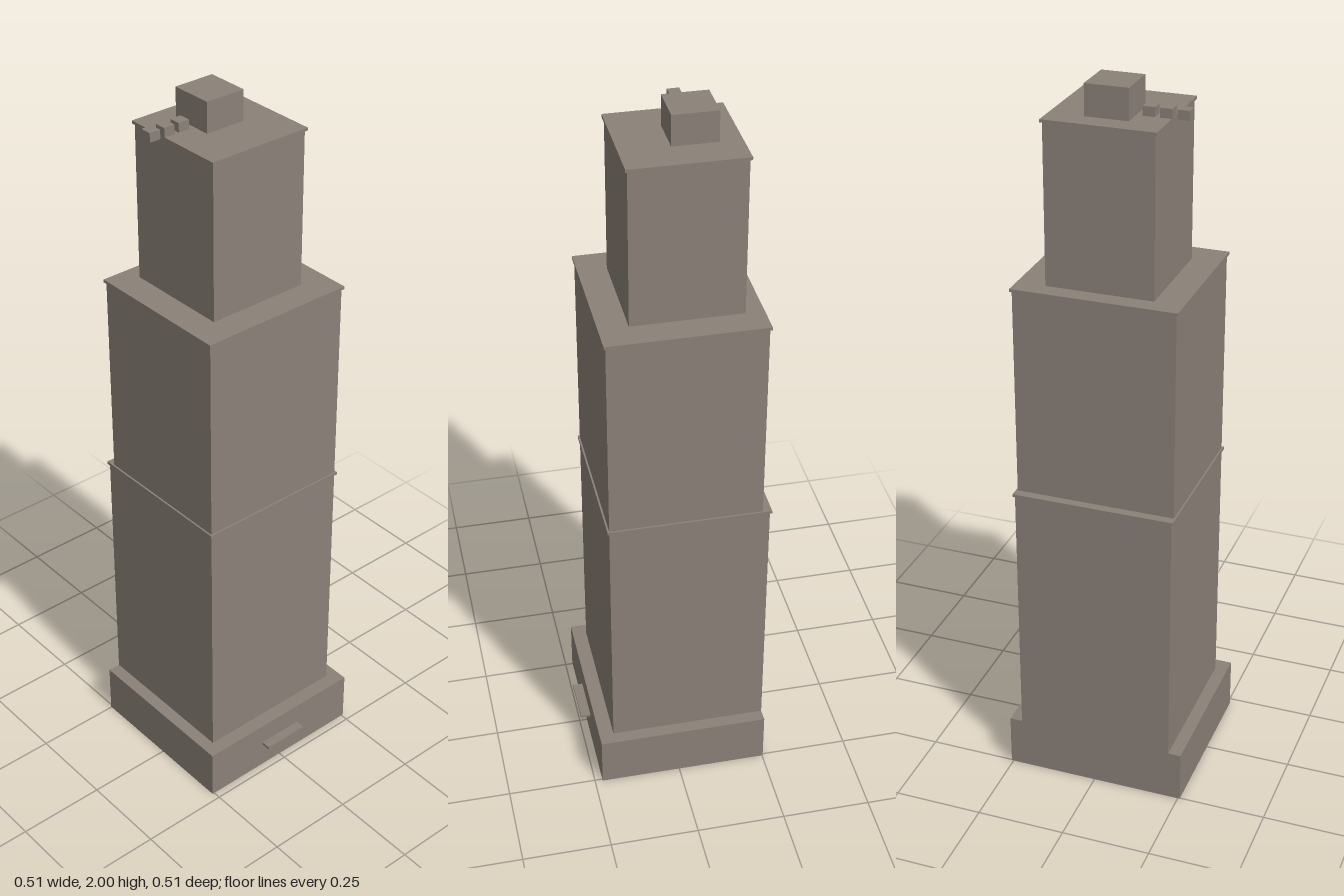
import * as THREE from 'three';

export function createModel() {
  const model = new THREE.Group();
  const stone = new THREE.MeshStandardMaterial({ color: 0x8b8178, side: THREE.DoubleSide });
  stone.name = 'warm grey stone';

  // Box given by its limits on each axis
  function block(name, [x0, x1], [y0, y1], [z0, z1]) {
    const mesh = new THREE.Mesh(new THREE.BoxGeometry(x1 - x0, y1 - y0, z1 - z0), stone);
    mesh.position.set((x0 + x1) / 2, (y0 + y1) / 2, (z0 + z1) / 2);
    mesh.name = name;
    model.add(mesh);
    return mesh;
  }

  // Shaft with a thin cornice projecting slightly at its top
  const lip = 0.005, capHeight = 0.008;
  function tier(name, halfWidth, bottom, top, back, front) {
    block(name + 'Shaft', [-halfWidth, halfWidth], [bottom, top - capHeight], [back, front]);
    block(name + 'Cornice', [-halfWidth - lip, halfWidth + lip], [top - capHeight, top], [back - lip, front + lip]);
  }

  // Podium shell, open underneath
  const podium = block('podium', [-0.256, 0.256], [0, 0.148], [-0.252, 0.228]);
  const faces = Array.from(podium.geometry.index.array);
  faces.splice(18, 6); // drop the bottom face
  podium.geometry.setIndex(faces);
  podium.geometry.clearGroups();

  // Floor slab inside the podium and the entrance canopy at the same level
  block('podiumFloor', [-0.255, 0.255], [0.077, 0.085], [-0.251, 0.227]);
  block('entranceCanopy', [-0.067, 0.067], [0.077, 0.085], [0.228, 0.256]);

  // Three stepped tiers
  tier('lower', 0.22, 0.148, 0.893, -0.252, 0.187);
  tier('middle', 0.22, 0.893, 1.478, -0.232, 0.187);
  tier('upper', 0.146, 1.478, 1.917, -0.187, 0.113);

  // Rooftop
  block('penthouse', [-0.059, 0.057], [1.917, 2], [-0.133, -0.013]);
  for (let i = 0; i < 3; i++) {
    const x = -0.2 + i * 0.0445;
    block('roofUnit' + (i + 1), [x, x + 0.032], [1.92, 1.945], [-0.09, -0.058]);
  }
  return model;
}
